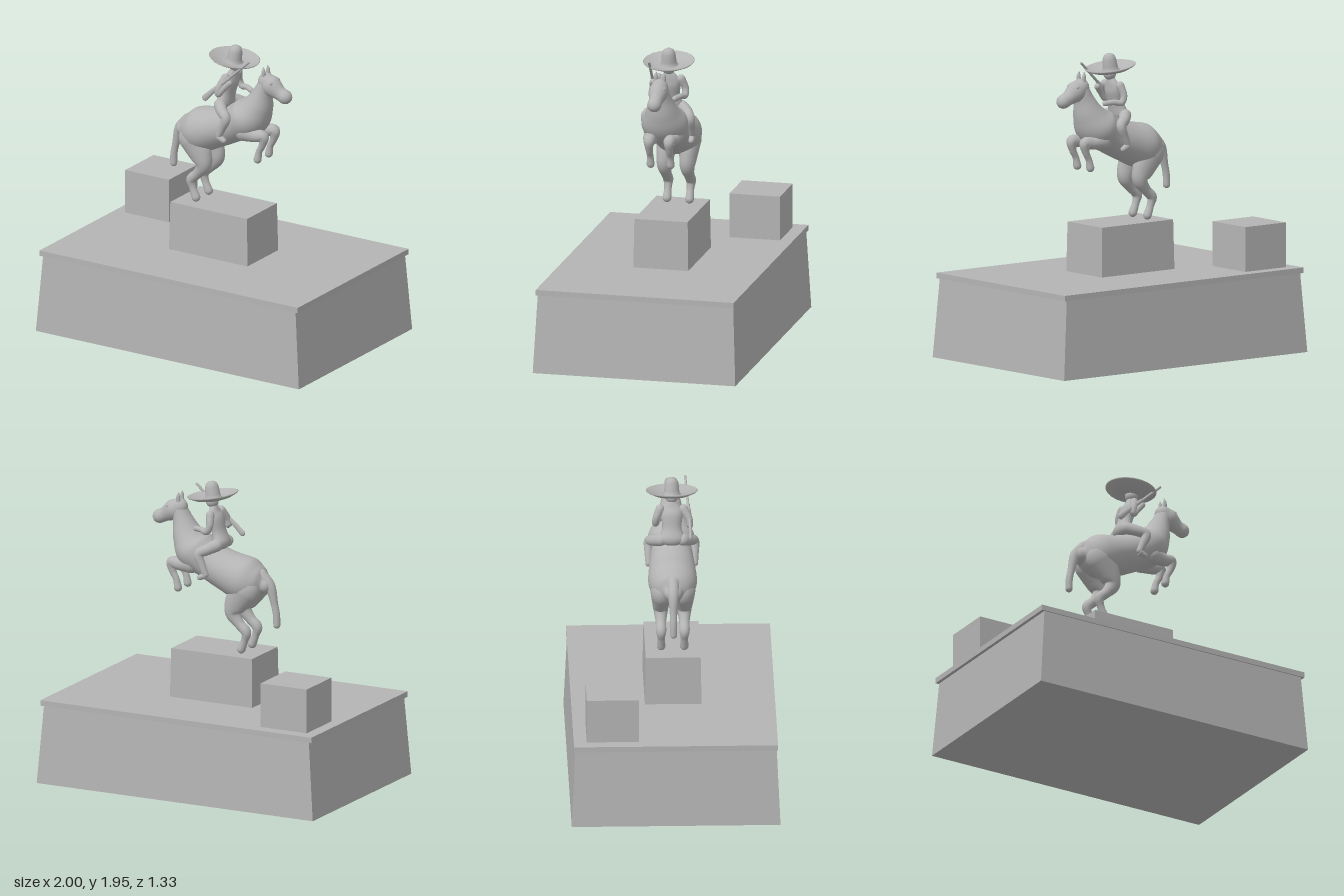
import * as THREE from 'three';

const stone = new THREE.MeshStandardMaterial({ color: 0xb4b4b4, side: THREE.DoubleSide });
stone.name = 'grey stone';

function add(parent, name, geometry) {
  const mesh = new THREE.Mesh(geometry, stone);
  mesh.name = name;
  parent.add(mesh);
  return mesh;
}

// Smooth round-ended limb through points [x, y, z, radius in side plane, radius across]
function limb(points, sides = 20, steps = 6) {
  const path = new THREE.CatmullRomCurve3(points.map(p => new THREE.Vector3(p[0], p[1], p[2])), false, 'catmullrom', 0.5);
  const size = new THREE.CatmullRomCurve3(points.map(p => new THREE.Vector3(p[3], p[4] ?? p[3], 0)), false, 'catmullrom', 0.5);
  const n = (points.length - 1) * steps, rings = [];
  const ring = (t, cap) => {
    const T = path.getTangent(t), r = size.getPoint(t);
    const c = path.getPoint(t).addScaledVector(T, r.x * Math.sin(cap));
    rings.push({ c, T, r: r.multiplyScalar(Math.max(Math.cos(cap), 0.001)) });
  };
  for (let i = 5; i > 0; i--) ring(0, -i * Math.PI / 10);
  for (let i = 0; i <= n; i++) ring(i / n, 0);
  for (let i = 1; i <= 5; i++) ring(1, i * Math.PI / 10);

  const pos = [], index = [];
  rings.forEach(({ c, T, r }, i) => {
    const N = new THREE.Vector3().crossVectors(T, new THREE.Vector3(0, 0, 1)).normalize();
    const B = new THREE.Vector3().crossVectors(T, N);
    for (let j = 0; j < sides; j++) {
      const a = j / sides * Math.PI * 2;
      const v = c.clone().addScaledVector(N, r.x * Math.cos(a)).addScaledVector(B, r.y * Math.sin(a));
      pos.push(v.x, v.y, v.z);
      if (i < rings.length - 1) {
        const p = i * sides + j, q = i * sides + (j + 1) % sides;
        index.push(p, q, p + sides, q, q + sides, p + sides);
      }
    }
  });
  const g = new THREE.BufferGeometry();
  g.setAttribute('position', new THREE.Float32BufferAttribute(pos, 3));
  g.setIndex(index);
  g.computeVertexNormals();
  return g;
}

// Box whose top is narrower than its bottom
function taperedBox(w, h, d, topX, topZ) {
  const g = new THREE.BoxGeometry(w, h, d), p = g.attributes.position;
  for (let i = 0; i < p.count; i++) {
    if (p.getY(i) > 0) p.setXYZ(i, p.getX(i) * topX, p.getY(i), p.getZ(i) * topZ);
  }
  g.computeVertexNormals();
  return g;
}

function createBase() {
  const base = new THREE.Group();
  base.name = 'base';
  add(base, 'pedestal', taperedBox(2, 0.51, 1.334, 0.96, 0.965)).position.y = 0.255;
  add(base, 'pedestalSlab', new THREE.BoxGeometry(1.964, 0.036, 1.304)).position.y = 0.528;
  add(base, 'plinth', taperedBox(0.596, 0.32, 0.362, 0.98, 0.97)).position.set(-0.003, 0.706, 0);
  add(base, 'sideBlock', new THREE.BoxGeometry(0.333, 0.29, 0.333)).position.set(-0.737, 0.69, -0.402);
  return base;
}

function createHorse() {
  const horse = new THREE.Group();
  horse.name = 'horse';
  add(horse, 'bodyAndNeck', limb([
    [-0.295, 1.315, 0, 0.055, 0.06], [-0.255, 1.32, 0, 0.105, 0.115], [-0.17, 1.335, 0, 0.145, 0.155],
    [-0.03, 1.38, 0, 0.13, 0.148], [0.1, 1.435, 0, 0.122, 0.135], [0.2, 1.495, 0, 0.13, 0.15],
    [0.258, 1.575, 0, 0.1, 0.11], [0.295, 1.67, 0, 0.066, 0.072], [0.32, 1.74, 0, 0.05, 0.055]], 32));
  add(horse, 'head', limb([
    [0.325, 1.755, 0, 0.058, 0.055], [0.365, 1.73, 0, 0.068, 0.062],
    [0.425, 1.695, 0, 0.047, 0.045], [0.465, 1.677, 0, 0.046, 0.046]], 24));
  add(horse, 'tail', limb([
    [-0.27, 1.38, 0, 0.04], [-0.335, 1.31, 0, 0.034], [-0.365, 1.2, 0, 0.024],
    [-0.38, 1.13, 0, 0.023], [-0.383, 1.062, 0, 0.023]]));

  for (const s of [1, -1]) {
    add(horse, 'hindLeg', limb([
      [-0.19, 1.29, s * 0.07, 0.1, 0.075], [-0.13, 1.195, s * 0.075, 0.08, 0.058],
      [-0.105, 1.125, s * 0.075, 0.052, 0.048], [-0.15, 1.06, s * 0.075, 0.034],
      [-0.2, 1.01, s * 0.075, 0.033], [-0.19, 0.955, s * 0.074, 0.024], [-0.165, 0.893, s * 0.074, 0.028]]));
    add(horse, 'frontLeg', limb([
      [0.2, 1.41, s * 0.075, 0.06, 0.055], [0.28, 1.4, s * 0.07, 0.043],
      [0.342, 1.403, s * 0.066, 0.036], [0.335, 1.345, s * 0.066, 0.024],
      [0.31, 1.295, s * 0.066, 0.021], [0.298, 1.24, s * 0.066, 0.026]]));
    add(horse, 'ear', limb([
      [0.318, 1.79, s * 0.025, 0.016, 0.014], [0.318, 1.83, s * 0.027, 0.012], [0.315, 1.855, s * 0.025, 0.003]], 10));
    add(horse, 'eye', new THREE.SphereGeometry(0.011, 10, 8)).position.set(0.385, 1.765, s * 0.045);
  }
  return horse;
}

function createRider() {
  const rider = new THREE.Group();
  rider.name = 'rider';
  add(rider, 'torso', limb([
    [0.015, 1.565, 0, 0.05, 0.085], [0.035, 1.63, 0, 0.042, 0.062],
    [0.055, 1.71, 0, 0.045, 0.07], [0.068, 1.755, 0, 0.032, 0.06], [0.075, 1.8, 0, 0.02, 0.022]]));
  add(rider, 'face', new THREE.SphereGeometry(0.042, 20, 14)).position.set(0.085, 1.825, 0);

  for (const s of [1, -1]) {
    add(rider, 'leg', limb([
      [0.015, 1.555, s * 0.07, 0.04], [0.06, 1.532, s * 0.115, 0.036], [0.108, 1.503, s * 0.145, 0.032],
      [0.08, 1.43, s * 0.148, 0.025], [0.055, 1.375, s * 0.148, 0.02]]));
    add(rider, 'foot', limb([[0.055, 1.37, s * 0.148, 0.021], [0.095, 1.352, s * 0.15, 0.018]], 14));
  }
  // One arm holds the rifle, the other the reins
  add(rider, 'rifleArm', limb([
    [0.06, 1.75, 0.075, 0.028], [0.035, 1.69, 0.11, 0.023], [0.03, 1.645, 0.115, 0.021],
    [0.07, 1.69, 0.11, 0.019], [0.105, 1.73, 0.1, 0.02]], 14));
  add(rider, 'reinArm', limb([
    [0.06, 1.75, -0.075, 0.028], [0.05, 1.69, -0.1, 0.023], [0.07, 1.645, -0.103, 0.021],
    [0.12, 1.65, -0.085, 0.018], [0.17, 1.645, -0.06, 0.018]], 14));
  add(rider, 'rifleBarrel', limb([[0.03, 1.695, 0.113, 0.009], [0.245, 1.895, 0.09, 0.008]], 10, 2));
  add(rider, 'rifleStock', limb([
    [-0.068, 1.603, 0.118, 0.021, 0.011], [-0.02, 1.65, 0.116, 0.017, 0.011], [0.1, 1.76, 0.107, 0.012, 0.01]], 10));

  // Wide upturned brim with a tall rounded crown
  const hat = add(rider, 'hat', new THREE.LatheGeometry([
    [0, -0.012], [0.07, -0.01], [0.12, 0.002], [0.16, 0.022], [0.165, 0.028], [0.16, 0.03],
    [0.115, 0.01], [0.065, 0], [0.052, 0.004], [0.048, 0.03], [0.044, 0.075], [0.034, 0.1],
    [0.018, 0.11], [0, 0.113]].map(p => new THREE.Vector2(...p)), 40));
  hat.position.set(0.077, 1.843, 0);
  hat.rotation.z = -0.15;
  return rider;
}

export function createModel() {
  const model = new THREE.Group();
  model.name = 'equestrianStatue';
  model.add(createBase(), createHorse(), createRider());
  return model;
}
